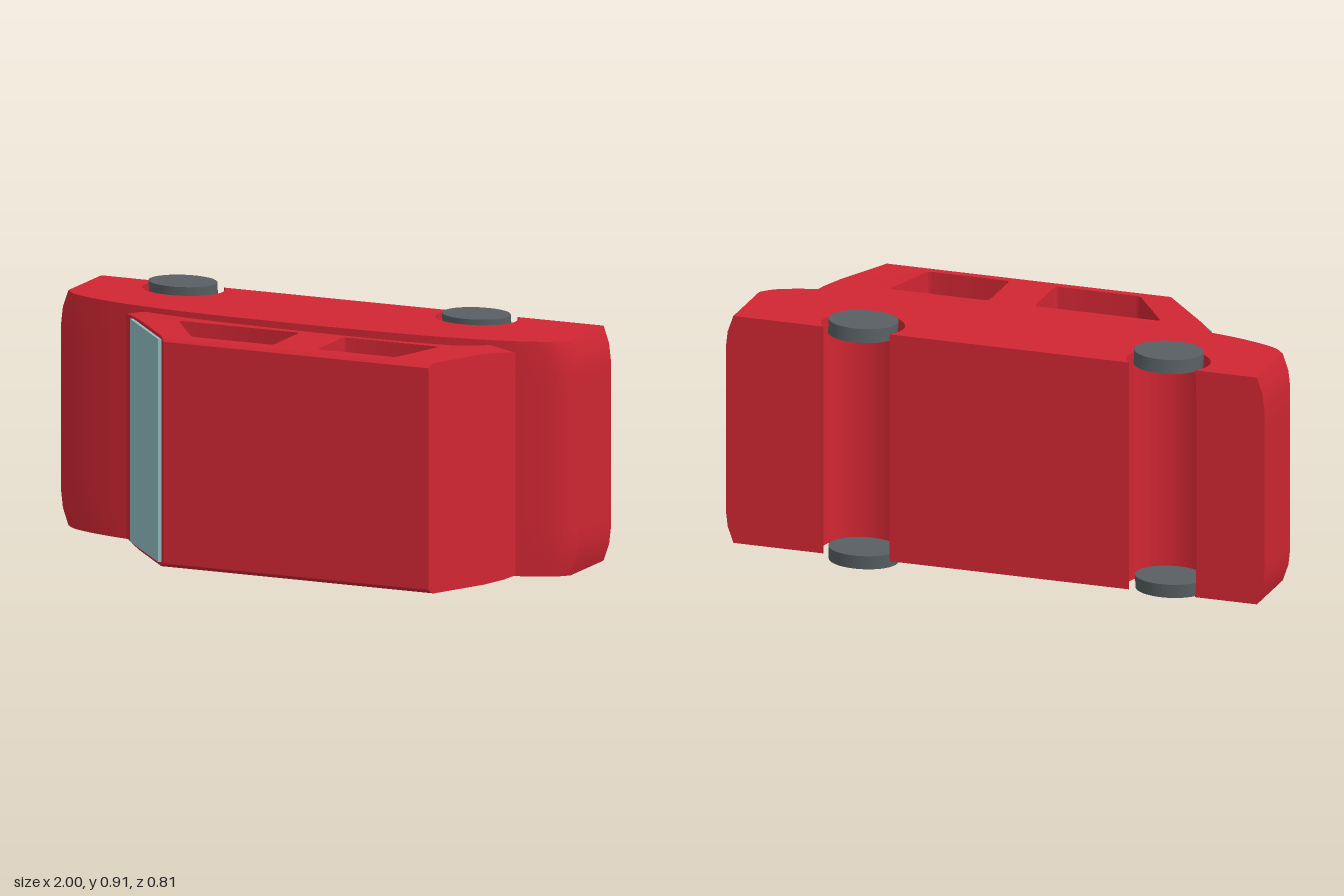
import * as THREE from 'three';
import { toCreasedNormals } from 'three/addons/utils/BufferGeometryUtils.js';

const red = new THREE.MeshStandardMaterial({ color: 0xd02632 });
const glass = new THREE.MeshStandardMaterial({ color: 0x90bcc0 });
const rubber = new THREE.MeshStandardMaterial({ color: 0x585f62 });

// The toy car lies on its side: profiles are drawn in x/z and extruded along y.
function extrudeY(shape, y0, y1, steps = 1) {
  const geo = new THREE.ExtrudeGeometry(shape, { depth: y1 - y0, steps, bevelEnabled: false, curveSegments: 24 });
  return geo.rotateX(Math.PI / 2).translate(0, y1, 0);
}

// Move every vertex by a rule
function reshape(geo, rule) {
  const p = geo.attributes.position, v = new THREE.Vector3();
  for (let i = 0; i < p.count; i++) {
    rule(v.fromBufferAttribute(p, i));
    p.setXYZ(i, v.x, v.y, v.z);
  }
  return toCreasedNormals(geo, 0.5);
}

const polygon = (pts) => new THREE.Shape(pts.map(([x, z]) => new THREE.Vector2(x, z)));

// Quadrilateral hole with slightly rounded corners
function windowHole(pts, r = 0.018) {
  const path = new THREE.Path();
  const c = pts.map(([x, z]) => new THREE.Vector2(x, z));
  c.forEach((p, i) => {
    const toward = (q) => p.clone().add(q.clone().sub(p).setLength(r));
    const a = toward(c[(i + 3) % 4]), b = toward(c[(i + 1) % 4]);
    if (i) path.lineTo(a.x, a.y); else path.moveTo(a.x, a.y);
    path.quadraticCurveTo(p.x, p.y, b.x, b.y);
  });
  path.closePath();
  return path;
}

function makeBody() {
  const y0 = 0.035, y1 = 0.876, base = -0.36;
  const half = [[0.972, -0.09], [0.92, -0.04], [0.8, 0.005], [0.65, 0.036], [0.45, 0.058], [0.2, 0.068]];
  const top = [...half, ...half.map(([x, z]) => [-x, z]).reverse()].map(([x, z]) => new THREE.Vector2(x, z));
  const s = new THREE.Shape();
  s.moveTo(0.972, base);
  s.lineTo(0.972, -0.09);
  new THREE.SplineCurve(top).getPoints(44).slice(1).forEach((p) => s.lineTo(p.x, p.y));
  s.lineTo(-0.972, base);
  // Wheel tunnels, open along the underside
  for (const cx of [-0.62, 0.515]) s.absellipse(cx, -0.29, 0.15, 0.122, Math.PI + 0.611, -0.611, true);
  s.closePath();
  // Nose and tail bulge out between the two flanks
  return reshape(extrudeY(s, y0, y1, 14), (v) => {
    const d = Math.min(1, Math.min(v.y - y0, y1 - v.y) / 0.12);
    const w = Math.max(0, (Math.abs(v.x) - 0.7) / 0.272);
    v.x += Math.sign(v.x) * 0.028 * w * (1 - (1 - d) ** 2);
  });
}

function makeCabin() {
  const y0 = 0.035, y1 = 0.86, mid = (y0 + y1) / 2;
  const s = polygon([
    [0.7, 0.02], [0.825, 0.052], [0.801, 0.1], [0.763, 0.18], [0.667, 0.385], [0.661, 0.399], [0.657, 0.407],
    [-0.368, 0.407], [-0.376, 0.399], [-0.388, 0.385], [-0.569, 0.18], [-0.64, 0.1], [-0.68, 0.055], [-0.6, 0.02],
  ]);
  s.holes.push(
    windowHole([[-0.44, 0.135], [0.03, 0.135], [0.03, 0.355], [-0.285, 0.355]]),
    windowHole([[0.2, 0.135], [0.57, 0.135], [0.505, 0.355], [0.2, 0.355]]));
  // Round the roof edges and draw in the lower front and rear corners
  return reshape(extrudeY(s, y0, y1), (v) => {
    const roof = Math.max(0, (v.z - 0.385) / 0.022);
    const end = Math.max(0, (v.x - 0.763) / 0.062, (-v.x - 0.569) / 0.111);
    v.y += Math.sign(mid - v.y) * (0.016 * roof ** 2 + 0.014 * end ** 2);
  });
}

// Wheel with a slight camber: its inner side is shifted toward the underside
function makeWheel(inward) {
  const geo = new THREE.CylinderGeometry(1, 1, 0.05, 40).scale(0.125, 1, 0.1).toNonIndexed();
  return reshape(geo, (v) => { v.z -= v.y * inward * 0.1; });
}

export function createModel() {
  const car = new THREE.Group();
  car.name = 'toyCar';
  const add = (name, geo, mat) => {
    const mesh = new THREE.Mesh(geo, mat);
    mesh.name = name;
    car.add(mesh);
    return mesh;
  };

  add('body', makeBody(), red);
  add('cabin', makeCabin(), red);

  // Thin pane lying on the sloping front of the cabin
  const pane = polygon([[-0.618, 0.12], [-0.384, 0.385], [-0.396, 0.393], [-0.63, 0.128]]);
  add('windshield', extrudeY(pane, 0.05, 0.848), glass);

  // x, y, z of each wheel centre, and the inward direction along y
  const wheels = {
    upperFrontWheel: [-0.615, 0.881, -0.275, -1],
    upperRearWheel: [0.515, 0.867, -0.288, -1],
    lowerFrontWheel: [-0.63, 0.06, -0.303, 1],
    lowerRearWheel: [0.515, 0.026, -0.286, 1],
  };
  for (const [name, [x, y, z, inward]] of Object.entries(wheels)) {
    add(name, makeWheel(inward), rubber).position.set(x, y, z);
  }
  return car;
}
